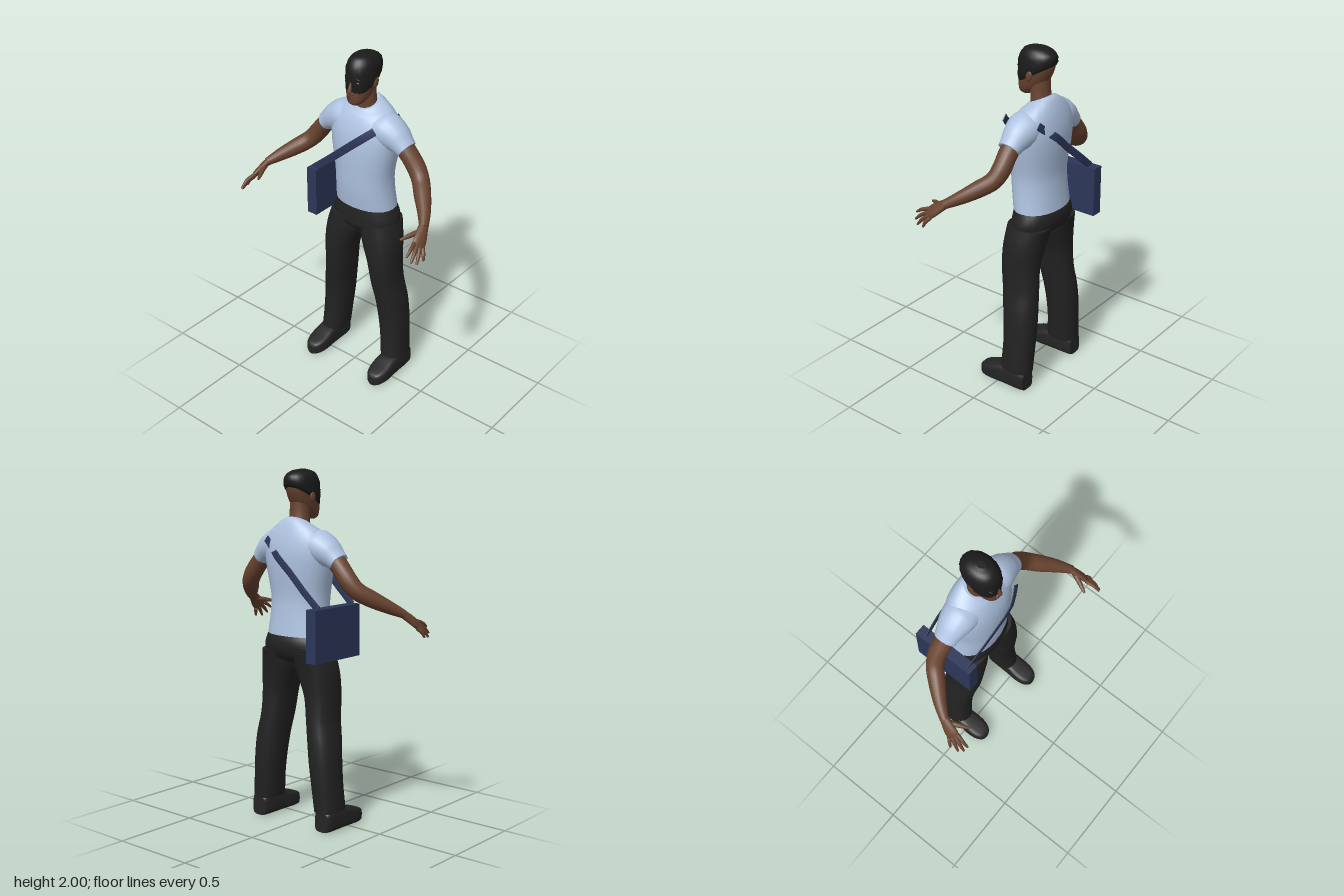
import * as THREE from 'three';

const V = (x, y, z) => new THREE.Vector3(x, y, z);
const mat = (name, color) => Object.assign(new THREE.MeshStandardMaterial({ color }), { name });

// Closed ring: centre c, half axes u and v, p < 1 makes it boxier
function ring(c, u, v, p = 1, n = 24) {
  const f = (a) => Math.sign(a) * Math.pow(Math.abs(a), p);
  return Array.from({ length: n }, (_, i) => {
    const a = (i / n) * Math.PI * 2;
    return c.clone().addScaledVector(u, f(Math.cos(a))).addScaledVector(v, f(Math.sin(a)));
  });
}

// Level ring given as [y, centreX, halfWidth, zFront, zBack, tilt]; tilt raises the back
function level([y, cx, rx, zf, zb, tilt = 0], p) {
  const rz = (zf - zb) / 2;
  return ring(V(cx, y, (zf + zb) / 2), V(rx, 0, 0), V(0, -tilt * rz, rz), p);
}

// Smooth skin through rings, capped at both ends and wound outwards
function loft(rings, sub = 3, tweak) {
  const n = rings[0].length, steps = (rings.length - 1) * sub;
  const cols = rings[0].map((_, i) => new THREE.CatmullRomCurve3(rings.map((r) => r[i])));
  const pts = [];
  for (let j = 0; j <= steps; j++) for (let i = 0; i < n; i++) {
    const q = cols[i].getPoint(j / steps);
    if (tweak) tweak(q, i, j);
    pts.push(q);
  }
  const tris = [];
  for (let j = 0; j < steps; j++) for (let i = 0; i < n; i++) {
    const k = (i + 1) % n, a = j * n + i, b = j * n + k, c = a + n, d = b + n;
    tris.push([a, b, d], [a, d, c]);
  }
  for (const [start, flip] of [[0, true], [steps * n, false]]) {
    const cap = pts.slice(start, start + n).map((q) => q.clone());
    const mid = cap.reduce((s, q) => s.add(q), V(0, 0, 0)).divideScalar(n);
    const o = pts.length;
    pts.push(...cap, mid);
    for (let i = 0; i < n; i++) {
      const k = (i + 1) % n;
      tris.push(flip ? [o + k, o + i, o + n] : [o + i, o + k, o + n]);
    }
  }
  const volume = tris.reduce((s, [a, b, c]) => s + pts[a].dot(pts[b].clone().cross(pts[c])), 0);
  const g = new THREE.BufferGeometry().setFromPoints(pts);
  g.setIndex(tris.flatMap(([a, b, c]) => (volume < 0 ? [a, c, b] : [a, b, c])));
  g.computeVertexNormals();
  return g;
}

// Limb along points [x, y, z, r1, r2]; r1 is measured along ref
function limb(path, ref, { s = 1, p = 1, n = 14, sub = 3 } = {}) {
  const c = path.map(([x, y, z]) => V(x, y, z));
  const flip = V(s, 1, 1);
  return loft(path.map(([, , , r1, r2 = r1], i) => {
    const t = c[Math.min(i + 1, c.length - 1)].clone().sub(c[Math.max(i - 1, 0)]).normalize();
    const u = ref.clone().addScaledVector(t, -ref.dot(t)).normalize();
    const v = t.clone().cross(u);
    return ring(c[i], u.multiplyScalar(r1), v.multiplyScalar(r2), p, n).map((q) => q.multiply(flip));
  }), sub);
}

export function createModel() {
  const model = new THREE.Group();
  const skin = mat('skin', 0x68432f), shirt = mat('shirt', 0xaec2e0), trousers = mat('trousers', 0x222222);
  const hair = mat('hair', 0x1b1b1b), shoe = mat('shoe', 0x252525), navy = mat('bag navy', 0x2c3659);
  const lip = mat('lip', 0x44271e), eyeWhite = mat('eye white', 0x8d7b70), iris = mat('iris', 0x1a110d);

  const add = (name, geo, m) => {
    const mesh = new THREE.Mesh(geo, m);
    mesh.name = name;
    model.add(mesh);
    return mesh;
  };
  const blob = (name, m, pos, size) => {
    const mesh = add(name, new THREE.SphereGeometry(1, 14, 10), m);
    mesh.position.set(...pos);
    mesh.scale.set(...size);
    return mesh;
  };

  // Shirt body, rising to a collar that dips at the front
  add('shirtBody', loft([
    [1.09, 0, 0.19, 0.02, -0.237], [1.2, 0, 0.18, 0.036, -0.226], [1.3, 0, 0.18, 0.042, -0.22],
    [1.44, 0, 0.204, 0.045, -0.234], [1.54, 0, 0.215, 0.035, -0.237], [1.61, 0, 0.205, 0.015, -0.226, 0.05],
    [1.665, 0, 0.16, -0.008, -0.208, 0.15], [1.697, 0, 0.105, -0.025, -0.187, 0.35], [1.712, 0, 0.073, -0.036, -0.168, 0.45],
  ].map((r) => level(r, 0.92))), shirt);

  // Neck and head
  add('neck', loft([[1.62, 0, 0.066, -0.045, -0.165], [1.7, 0, 0.062, -0.045, -0.158], [1.76, 0, 0.058, -0.04, -0.15],
    [1.82, 0, 0.056, -0.03, -0.15]].map((r) => level(r))), skin);
  add('head', loft([
    [1.724, 0, 0.024, 0.018, -0.03], [1.737, 0, 0.042, 0.034, -0.06], [1.765, 0, 0.059, 0.037, -0.1],
    [1.8, 0, 0.068, 0.037, -0.135], [1.85, 0, 0.075, 0.033, -0.163], [1.9, 0, 0.077, 0.034, -0.178],
    [1.95, 0, 0.07, 0.02, -0.17], [1.98, 0, 0.04, -0.02, -0.12],
  ].map((r) => level(r, 0.93))), skin);
  add('nose', limb([[0, 1.872, 0.028, 0.008], [0, 1.845, 0.036, 0.008], [0, 1.812, 0.045, 0.012], [0, 1.796, 0.043, 0.014, 0.009]],
    V(1, 0, 0)), skin);
  blob('upperLip', lip, [0, 1.776, 0.036], [0.023, 0.005, 0.008]);
  blob('lowerLip', lip, [0, 1.767, 0.035], [0.02, 0.006, 0.009]);

  // Cropped hair with a light ripple; hairline drops towards the nape
  add('hair', loft([
    [1.842, 0, 0.077, 0.03, -0.178, 0.56], [1.855, 0, 0.083, 0.035, -0.188, 0.54], [1.9, 0, 0.086, 0.038, -0.192, 0.36],
    [1.95, 0, 0.079, 0.031, -0.183, 0.13], [1.984, 0, 0.055, 0, -0.146, 0.04], [1.997, 0, 0.02, -0.05, -0.1],
  ].map((r) => level(r, 0.95)), 4, (q, i, j) => {
    const k = 1 + 0.014 * Math.sin(i * 2.3 + j * 1.7);
    q.x *= k;
    q.z = -0.077 + (q.z + 0.077) * k;
  }), hair);

  // Hips
  add('hips', loft([[1.1, 0, 0.184, 0.01, -0.23], [1.06, 0, 0.2, 0.016, -0.243], [1.01, 0, 0.213, 0.02, -0.24],
    [0.965, 0, 0.2, 0.018, -0.22], [0.935, 0, 0.1, -0.02, -0.17]].map((r) => level(r, 0.9))), trousers);

  for (const s of [1, -1]) {
    const side = s > 0 ? 'left' : 'right';

    // Face details
    blob(side + 'Ear', skin, [s * 0.08, 1.848, -0.078], [0.01, 0.032, 0.02]).rotation.x = -0.2;
    blob(side + 'Eye', eyeWhite, [s * 0.032, 1.862, 0.023], [0.014, 0.006, 0.005]);
    blob(side + 'Iris', iris, [s * 0.032, 1.862, 0.0265], [0.005, 0.005, 0.003]);
    blob(side + 'Brow', hair, [s * 0.035, 1.882, 0.024], [0.02, 0.004, 0.006]).rotation.y = s * 0.3;
    blob(side + 'Nostril', skin, [s * 0.012, 1.799, 0.038], [0.008, 0.007, 0.009]);

    // Sleeve: flat axis runs front to back
    add(side + 'Sleeve', limb([[0.1, 1.585, -0.1, 0.1, 0.09], [0.15, 1.578, -0.1, 0.1, 0.095], [0.215, 1.548, -0.1, 0.084, 0.08],
      [0.25, 1.524, -0.098, 0.071, 0.064], [0.28, 1.502, -0.097, 0.063, 0.054]], V(0, 0, 1), { s, n: 20 }), shirt);

    // Arm
    add(side + 'Arm', limb([[0.22, 1.55, -0.1, 0.056], [0.295, 1.475, -0.1, 0.054, 0.05], [0.345, 1.412, -0.1, 0.052],
      [0.39, 1.357, -0.08, 0.049], [0.44, 1.316, -0.028, 0.047], [0.51, 1.265, 0.05, 0.036], [0.56, 1.226, 0.118, 0.026, 0.022]],
      V(-0.58, 0.63, 0.52), { s, n: 18 }), skin);

    // Hand: palm, four fingers from index to little finger, thumb
    const across = V(-0.58, 0.63, 0.52);
    add(side + 'Palm', limb([[0.55, 1.235, 0.105, 0.026, 0.021], [0.567, 1.206, 0.145, 0.034, 0.019], [0.582, 1.175, 0.185, 0.04, 0.016],
      [0.589, 1.157, 0.205, 0.036, 0.011]], across, { s }), skin);
    [[0.583, 1.14, 0.297], [0.605, 1.108, 0.288], [0.622, 1.09, 0.26], [0.631, 1.093, 0.212]].forEach((tip, i) => {
      const base = V(0.586, 1.162, 0.198).addScaledVector(across, 0.028 - i * 0.0187);
      const mid = base.clone().lerp(V(...tip), 0.55).add(V(0.004, 0.005, 0.003));
      add(side + 'Finger' + (i + 1), limb([[...base, 0.012], [...mid, 0.0105], [...tip, 0.006]], across, { s, n: 8 }), skin);
    });
    add(side + 'Thumb', limb([[0.557, 1.212, 0.135, 0.016], [0.533, 1.204, 0.19, 0.014], [0.517, 1.197, 0.222, 0.011],
      [0.504, 1.19, 0.25, 0.006]], across, { s, n: 8 }), skin);

    // Trouser leg
    add(side + 'Leg', loft([
      [1.0, 0.108, 0.105, 0.018, -0.235], [0.92, 0.122, 0.113, 0.026, -0.216], [0.85, 0.138, 0.106, 0.03, -0.204],
      [0.75, 0.157, 0.088, 0.03, -0.195], [0.62, 0.169, 0.08, 0.018, -0.2], [0.5, 0.19, 0.083, -0.002, -0.209],
      [0.38, 0.204, 0.082, -0.016, -0.212], [0.25, 0.217, 0.077, -0.018, -0.209], [0.11, 0.229, 0.072, -0.006, -0.204],
    ].map(([y, cx, ...r]) => level([y, s * cx, ...r], 0.85))), trousers);

    // Shoe: sections [z, halfWidth, height] from heel to toe
    add(side + 'Shoe', loft([[-0.19, 0.046, 0.11], [-0.17, 0.056, 0.125], [-0.08, 0.06, 0.13], [-0.01, 0.062, 0.12],
      [0.05, 0.064, 0.098], [0.1, 0.055, 0.082], [0.128, 0.037, 0.07], [0.138, 0.018, 0.055]].map(([z, w, h]) =>
      ring(V(s * 0.237, h / 2, z), V(w, 0, 0), V(0, h / 2, 0), 0.5))), shoe);
  }

  // Shoulder bag with a strap across chest and back
  add('bag', new THREE.BoxGeometry(0.066, 0.29, 0.376), navy).position.set(-0.259, 1.12, -0.117);
  const straps = {
    frontStrap: [[-0.262, 1.262, 0.04], [-0.15, 1.355, 0.053], [-0.04, 1.45, 0.064], [0.07, 1.545, 0.068], [0.155, 1.617, 0.03]],
    backStrap: [[-0.262, 1.262, -0.25], [-0.16, 1.35, -0.25], [-0.05, 1.445, -0.238], [0.04, 1.525, -0.24], [0.09, 1.565, -0.218],
      [0.155, 1.617, -0.2]],
  };
  for (const [name, path] of Object.entries(straps))
    add(name, limb(path.map((q) => [...q, 0.022, 0.003]), V(0.65, -0.76, 0), { p: 0.3, n: 8, sub: 2 }), navy);

  return model;
}
